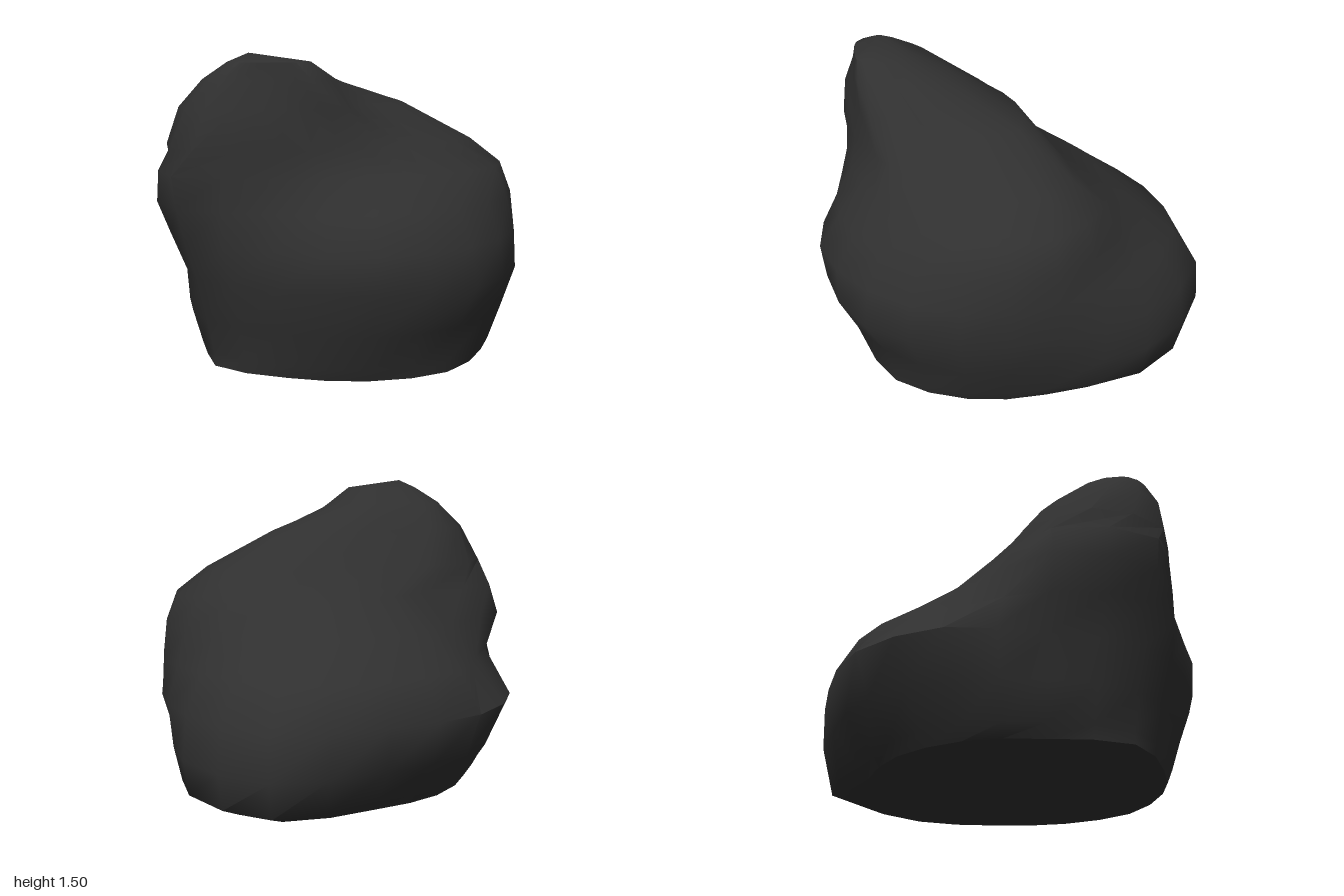
import * as THREE from 'three';
import { toCreasedNormals } from 'three/addons/utils/BufferGeometryUtils.js';

// Each ring: height, centre x, centre z, then radii every 30 degrees from +x towards +z
const RINGS = [
  [0.02, 0, 0, 0.77, 0.73, 0.72, 0.79, 0.69, 0.69, 0.70, 0.72, 0.88, 0.84, 0.74, 0.74],
  [0.08, 0, 0, 0.78, 0.76, 0.74, 0.79, 0.73, 0.73, 0.74, 0.77, 1.03, 0.94, 0.77, 0.77],
  [0.25, 0, 0, 0.83, 0.82, 0.79, 0.83, 0.79, 0.82, 0.87, 0.90, 1.07, 0.97, 0.82, 0.83],
  [0.46, 0, 0, 0.945, 0.90, 0.85, 0.88, 0.80, 0.91, 0.945, 0.94, 1.05, 0.95, 0.88, 0.90],
  [0.64, 0, 0, 0.91, 0.92, 0.86, 0.94, 0.86, 0.74, 0.82, 0.86, 0.92, 0.86, 0.86, 0.89],
  [0.80, 0, 0, 0.82, 0.81, 0.82, 0.98, 0.92, 0.62, 0.61, 0.65, 0.71, 0.76, 0.85, 0.85],
  [0.95, 0, 0, 0.71, 0.69, 0.78, 1.00, 0.87, 0.48, 0.42, 0.45, 0.53, 0.68, 0.79, 0.79],
  [1.07, 0.10, 0.20, 0.44, 0.44, 0.55, 0.75, 0.76, 0.55, 0.40, 0.40, 0.49, 0.77, 0.74, 0.53],
  [1.25, 0.13, 0.38, 0.35, 0.34, 0.39, 0.52, 0.56, 0.45, 0.36, 0.36, 0.48, 0.64, 0.47, 0.29],
  [1.38, 0.15, 0.52, 0.27, 0.22, 0.23, 0.30, 0.34, 0.30, 0.23, 0.22, 0.25, 0.27, 0.27, 0.28],
];
const SEGMENTS = 24;

// Closed smooth curve through one ring, sampled into points
function ringPoints([y, cx, cz, ...radii], scale = 1) {
  const knots = radii.map((r, i) => {
    const a = (i / radii.length) * Math.PI * 2;
    return new THREE.Vector3(cx + Math.cos(a) * r * scale, y, cz + Math.sin(a) * r * scale);
  });
  const curve = new THREE.CatmullRomCurve3(knots, true, 'catmullrom', 0.5);
  return Array.from({ length: SEGMENTS }, (_, i) => curve.getPoint(i / SEGMENTS));
}

function boulderGeometry() {
  const rings = RINGS.map((ring) => ringPoints(ring));
  // Small cap ring just below the peak
  const last = RINGS[RINGS.length - 1];
  rings.push(ringPoints([1.46, 0.2, 0.57, ...last.slice(3)], 0.62));

  const points = rings.flat();
  const bottom = points.push(new THREE.Vector3(0, 0, 0)) - 1;
  const peak = points.push(new THREE.Vector3(0.13, 1.5, 0.66)) - 1;
  const top = (rings.length - 1) * SEGMENTS;
  const index = [];
  for (let j = 0; j < SEGMENTS; j++) {
    const k = (j + 1) % SEGMENTS;
    for (let i = 0; i < rings.length - 1; i++) {
      const a = i * SEGMENTS + j, b = i * SEGMENTS + k;
      const c = a + SEGMENTS, d = b + SEGMENTS;
      index.push(a, c, b, b, c, d);
    }
    index.push(bottom, j, k, top + j, peak, top + k);
  }
  const geometry = new THREE.BufferGeometry().setFromPoints(points);
  geometry.setIndex(index);
  // Smooth flanks, sharp edge around the flat base
  return toCreasedNormals(geometry, 0.95);
}

export function createModel() {
  const group = new THREE.Group();
  group.name = 'rock';
  const boulder = new THREE.Mesh(
    boulderGeometry(),
    new THREE.MeshStandardMaterial({ color: 0x303030 })
  );
  boulder.name = 'boulder';
  group.add(boulder);
  return group;
}
